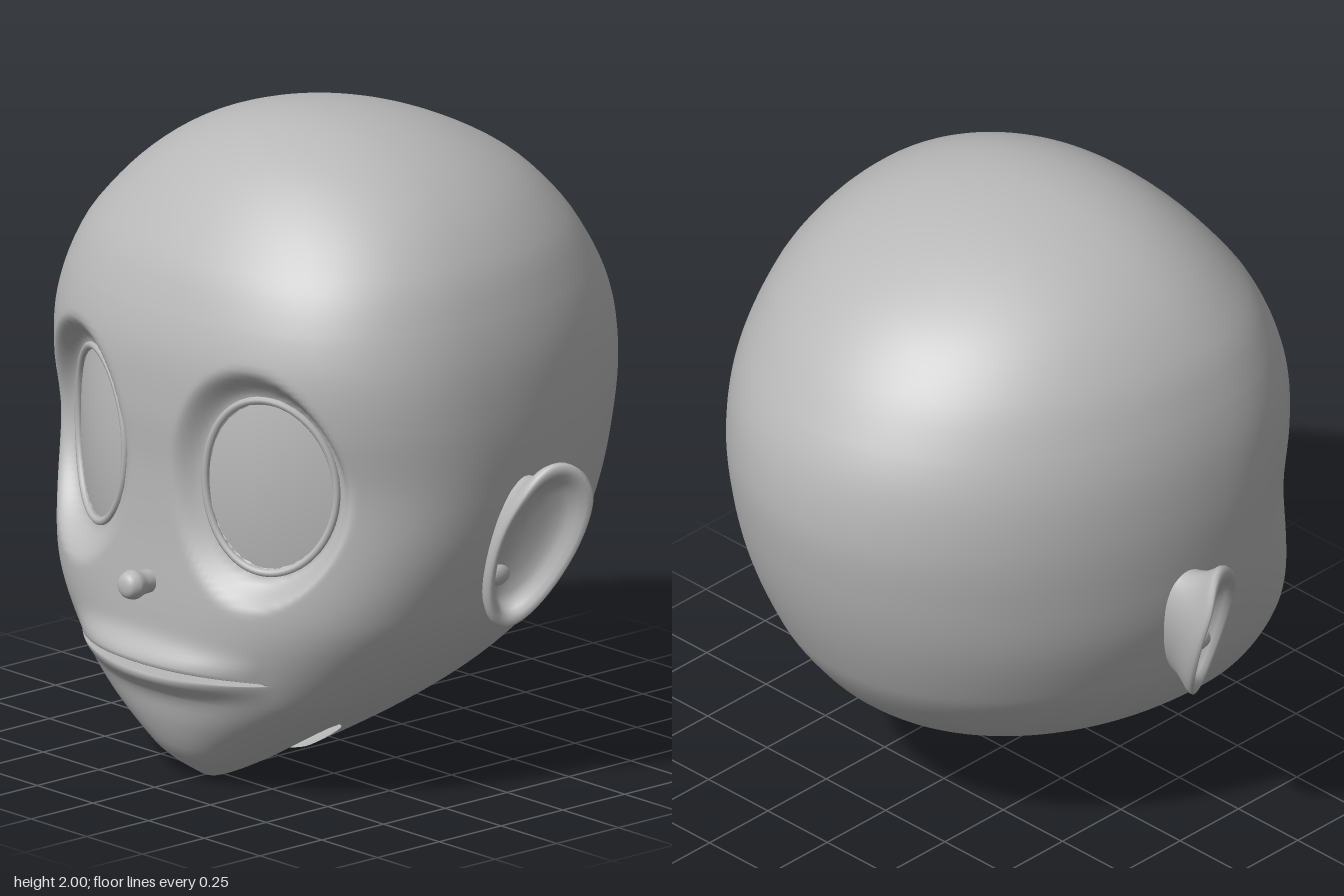
import * as THREE from 'three';

const skin = new THREE.MeshStandardMaterial({ color: 0xb8b8b8, side: THREE.DoubleSide });
skin.name = 'grey skin';

// Head profile: [height, half width, centre z, front z, back z]
const PROFILE = [
  [0, 0.06, 0.49, 0.545, 0.46], [0.05, 0.155, 0.45, 0.62, 0.33], [0.1, 0.24, 0.41, 0.67, 0.12],
  [0.2, 0.39, 0.36, 0.72, -0.2], [0.3, 0.517, 0.32, 0.747, -0.42], [0.4, 0.613, 0.26, 0.768, -0.56],
  [0.5, 0.685, 0.21, 0.778, -0.65], [0.6, 0.735, 0.175, 0.778, -0.715], [0.8, 0.795, 0.14, 0.77, -0.8],
  [1, 0.82, 0.13, 0.77, -0.855], [1.2, 0.825, 0.125, 0.78, -0.88], [1.4, 0.802, 0.12, 0.768, -0.85],
  [1.6, 0.735, 0.11, 0.7, -0.742], [1.7, 0.672, 0.1, 0.635, -0.658], [1.8, 0.58, 0.09, 0.55, -0.545],
  [1.9, 0.435, 0.08, 0.43, -0.365], [1.97, 0.25, 0.08, 0.28, -0.165], [2, 0, 0.08, 0.08, 0.08]];
const KEYS = PROFILE.map(p => -Math.sqrt(2 - p[0])); // makes the crown round instead of pointed

// Smooth interpolation of one profile column at height y
function profileAt(y, col) {
  const q = -Math.sqrt(Math.max(0, 2 - y)), last = KEYS.length - 1;
  let i = 0;
  while (i < last - 1 && q > KEYS[i + 1]) i++;
  const slope = k => {
    const a = Math.max(0, k - 1), b = Math.min(last, k + 1);
    return (PROFILE[b][col] - PROFILE[a][col]) / (KEYS[b] - KEYS[a]);
  };
  const h = KEYS[i + 1] - KEYS[i], t = (q - KEYS[i]) / h, t2 = t * t, t3 = t2 * t;
  return (2 * t3 - 3 * t2 + 1) * PROFILE[i][col] + (t3 - 2 * t2 + t) * h * slope(i)
    + (3 * t2 - 2 * t3) * PROFILE[i + 1][col] + (t3 - t2) * h * slope(i + 1);
}

const { smoothstep: smooth, lerp } = THREE.MathUtils;
const bump = (v, centre, width) => Math.exp(-(((v - centre) / width) ** 2));
const EYE = { x: 0.38, y: 1.005, rx: 0.2, ry: 0.27 };
// Gently domed surface the eye rim lies on
function eyeSurface(x, y) {
  const dx = Math.abs(x) - EYE.x;
  return 0.655 - 0.43 * dx - 0.85 * dx * dx - 0.14 * (y - EYE.y) ** 2;
}

// Point on the plain head, angle 0 at the front
function section(angle, y) {
  const s = Math.sin(angle), c = Math.cos(angle), mid = profileAt(y, 2);
  // squareness of the front: fuller cheeks, flatter at the eyes, round at crown and chin
  const n = c > 0 ? 2.35 + 0.2 * bump(y, 0.6, 0.16) - 0.2 * bump(y, 1.02, 0.2)
    - 0.3 * smooth(y, 1.5, 1.95) - 0.15 * (1 - smooth(y, 0.1, 0.3)) : 2;
  const depth = c > 0 ? profileAt(y, 3) - mid : mid - profileAt(y, 4);
  return [profileAt(y, 1) * Math.sign(s) * Math.abs(s) ** (2 / n),
    mid + depth * Math.sign(c) * Math.abs(c) ** (2 / n)];
}

// Head with lips, mouth slit and eye sockets
const MOUTH = 0.393, SLIT = 0.013;
function headPoint(angle, row) {
  if (Math.cos(angle) < 0.1) {
    const [x, z] = section(angle, row);
    return [x, row, z];
  }
  const across = Math.max(0, 1 - (section(angle, row)[0] / 0.41) ** 2);
  // rows near the mouth close together towards its corners
  const d = row - MOUTH, open = Math.sqrt(across), fade = 1 - smooth(Math.abs(d), SLIT, 0.06);
  const y = row - d * (1 - open) * 0.9 * fade;
  let [x, z] = section(angle, y);
  const lowerLip = lerp(0.385, 0.355, across);
  z += across * (y > MOUTH ? 0.055 * bump(y, 0.415, 0.05) : 0.055 * bump(y, lowerLip + 0.01, 0.045));
  if (Math.abs(d) < SLIT - 0.0005) z = lerp(z, Math.min(z, 0.65), smooth(across, 0, 0.15));
  const e = Math.hypot((Math.abs(x) - EYE.x) / EYE.rx, (y - EYE.y) / EYE.ry);
  z = lerp(z, eyeSurface(x, y), 1 - smooth(e, 1.02, 1.42));
  z -= 0.03 * (1 - smooth(e, 0.86, 0.98));
  return [x, y, z];
}

// Arched neck opening seen from the side: [z, height]
const ARCH = [[0.315, 0], [0.316, 0.16], [0.33, 0.19], [0.365, 0.21], [0.4, 0.2], [0.43, 0.17], [0.47, 0.1], [0.545, 0]];
function archHeight(z) {
  for (let i = 1; i < ARCH.length; i++) {
    const [a, h] = ARCH[i - 1], [b, k] = ARCH[i];
    if (z >= a && z < b) return h + (k - h) * (z - a) / (b - a);
  }
  return 0;
}
function neckEdge(angle) {
  let y = 0;
  while (y < 0.3 && y < archHeight(section(angle, y)[1])) y += 0.001;
  return y;
}

// Joins equal loops of points into one smooth skin
function loft(loops) {
  const n = loops[0].length, index = [];
  for (let i = 0; i < loops.length - 1; i++) for (let j = 0; j < n; j++) {
    const a = i * n + j, b = i * n + (j + 1) % n;
    index.push(a, b, b + n, a, b + n, a + n);
  }
  const g = new THREE.BufferGeometry();
  g.setAttribute('position', new THREE.Float32BufferAttribute(loops.flat(2), 3));
  g.setIndex(index);
  g.computeVertexNormals();
  return g;
}

function part(name, geometry, parent) {
  const m = new THREE.Mesh(geometry, skin);
  m.name = name;
  parent.add(m);
  return m;
}

function headGeometry() {
  const rows = [];
  const span = (from, to, step) => {
    const n = Math.round((to - from) / step);
    for (let i = 0; i < n; i++) rows.push(from + (to - from) * i / n);
  };
  span(0, 0.3, 0.02); span(0.3, 0.37, 0.01);
  rows.push(0.37, 0.375, 0.378, 0.38, 0.381, 0.387, 0.393, 0.399, 0.405, 0.406, 0.408, 0.411, 0.415);
  span(0.42, 0.52, 0.0125); span(0.52, 1.5, 0.02);
  for (let i = 0; i <= 24; i++) rows.push(2 - 0.5 * (1 - i / 24) ** 2);
  const angles = [];
  for (let i = 0; i < 160; i++) angles.push(-Math.PI / 2 + Math.PI * i / 160);
  for (let i = 0; i < 80; i++) angles.push(Math.PI / 2 + Math.PI * i / 80);
  const edges = angles.map(neckEdge);
  return loft(rows.map(s => angles.map((a, j) =>
    headPoint(a, s + edges[j] * Math.max(0, 1 - s / 0.3)))));
}

// Eye: shallow lens and a thin rim
function addEye(side, parent) {
  const eye = new THREE.Group();
  eye.name = side > 0 ? 'leftEye' : 'rightEye';
  parent.add(eye);
  const at = (t, r, lift) => {
    const x = side * EYE.x + EYE.rx * r * Math.cos(t), y = EYE.y + EYE.ry * r * Math.sin(t);
    return [x, y, eyeSurface(x, y) + lift];
  };
  const steps = Array.from({ length: 64 }, (_, i) => i / 64 * Math.PI * 2);
  const rings = [1, 0.97, 0.9, 0.8, 0.65, 0.5, 0.35, 0.2, 0.1, 0];
  part('eyeLens', loft(rings.map(r => steps.map(t => at(t, r * 0.97, 0.012 * (1 - r * r) - 0.008)))), eye);
  const path = new THREE.CatmullRomCurve3(steps.map(t => new THREE.Vector3(...at(t, 1, 0))), true);
  part('eyeRim', new THREE.TubeGeometry(path, 96, 0.012, 8, true), eye);
}

// Ear: flared cup with a rolled rim and a hollow bowl
function addEar(side, parent) {
  const ear = new THREE.Group();
  ear.name = side > 0 ? 'leftEar' : 'rightEar';
  parent.add(ear);
  const at = (t, r, out) => {
    const s = Math.sin(t), y = 0.8 + 0.27 * r * s;
    const z = r * (0.122 * Math.cos(t) * (1 + 0.15 * s) - 0.035 * s);
    return [side * (0.88 + 0.33 * (y - 0.8) - 2 * Math.max(0, y - 0.93) ** 2 - 0.45 * z + out), y, z];
  };
  const rings = [[0.78, -0.25], [0.74, -0.16], [0.76, -0.11], [0.81, -0.075], [0.89, -0.045], [0.97, -0.02], [1, -0.002],
    [0.99, 0.01], [0.94, 0.015], [0.86, 0.008], [0.79, -0.012], [0.72, -0.035], [0.6, -0.05], [0.35, -0.058], [0, -0.058]];
  const steps = Array.from({ length: 48 }, (_, i) => -side * i / 48 * Math.PI * 2);
  part('earCup', loft(rings.map(([r, out]) => steps.map(t => at(t, r, out)))), ear);
  const fold = part('earFold', new THREE.SphereGeometry(1, 20, 14), ear);
  fold.scale.set(0.025, 0.035, 0.05);
  fold.position.set(side * 0.77, 0.7, 0.06);
}

export function createModel() {
  const model = new THREE.Group();
  model.name = 'head';
  part('skull', headGeometry(), model);
  for (const side of [1, -1]) {
    addEye(side, model);
    addEar(side, model);
  }
  // Button nose on a short stem
  const nose = [[0.036, 0], [0.036, 0.03], [0.038, 0.055], [0.044, 0.075], [0.045, 0.09], [0.036, 0.112], [0.02, 0.122], [0, 0.125]];
  const curve = new THREE.SplineCurve(nose.map(p => new THREE.Vector2(...p)));
  const button = part('nose', new THREE.LatheGeometry(curve.getPoints(28).map(p => p.set(Math.max(0, p.x), p.y)), 28), model);
  button.rotation.x = Math.PI / 2;
  button.position.set(0, 0.653, 0.755);
  return model;
}
